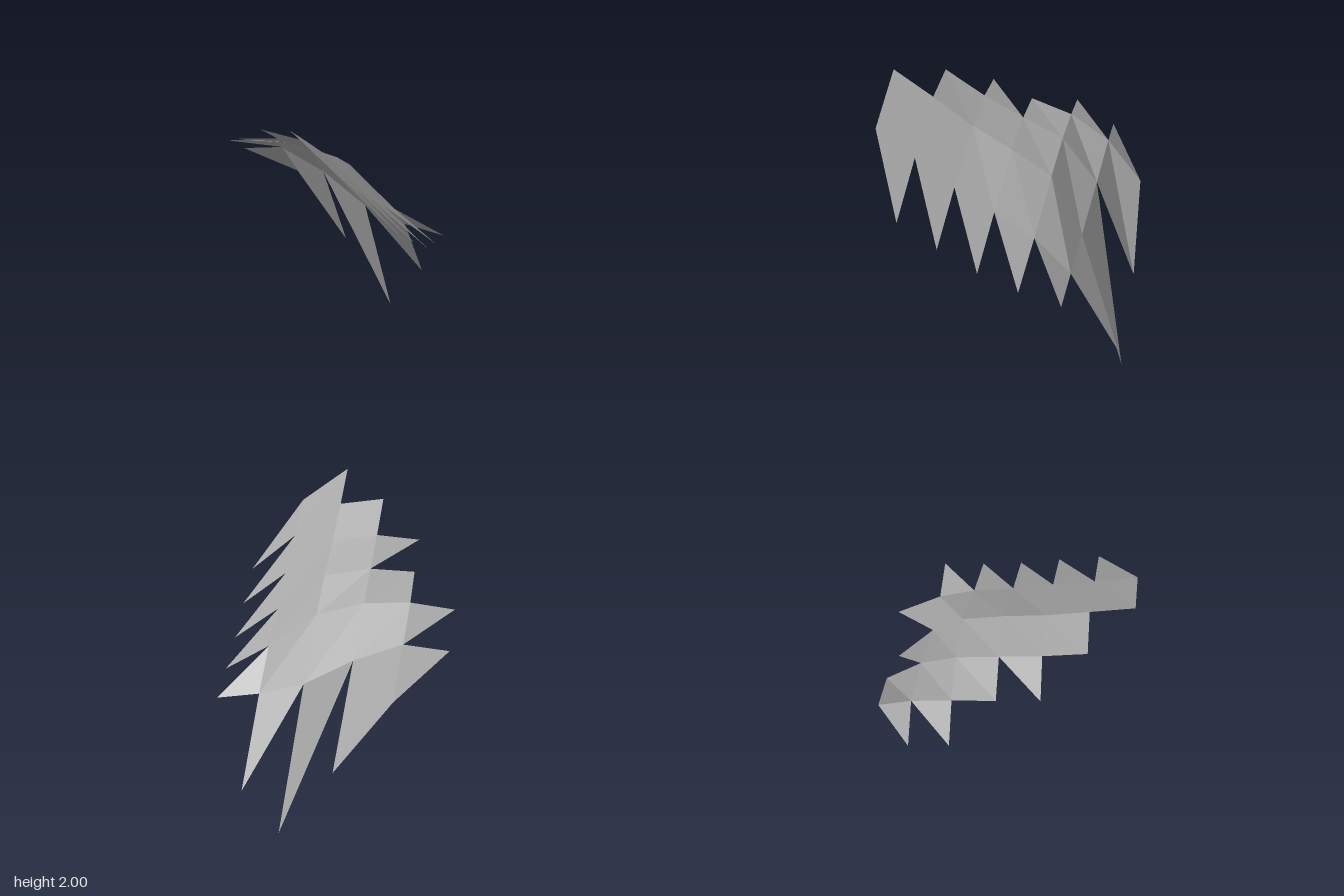
import * as THREE from 'three';

// Lengthwise ridge lines of the folded sheet, each listed from front to back
const rightEdge = [[0.36, 1.735, 0.845], [0.385, 1.565, 0.58], [0.415, 1.395, 0.31], [0.43, 1.25, 0.04], [0.455, 1.105, -0.235], [0.485, 0.88, -0.49]];
const ridge = [[0.03, 2, 0.815], [0.05, 1.84, 0.545], [0.075, 1.67, 0.27], [0.1, 1.54, 0], [0.12, 1.385, -0.275], [0.18, 0.985, -0.505]];
const crease = [[-0.25, 1.89, 0.545], [-0.23, 1.735, 0.27], [-0.21, 1.61, -0.005], [-0.195, 1.495, -0.285], [-0.15, 1.205, -0.54], [-0.05, 0.53, -0.85]];
const leftEdge = [[-0.505, 1.6, 0], [-0.495, 1.515, -0.285], [-0.47, 1.355, -0.56], [-0.43, 1.077, -0.81]];

// Spike tips
const rightTips = [[0.715, 1.265, 0.615], [0.74, 1.115, 0.345], [0.755, 0.98, 0.075], [0.77, 0.885, -0.2], [0.775, 0.825, -0.485]];

export function createModel() {
  const group = new THREE.Group();
  const grey = new THREE.MeshStandardMaterial({ color: 0xa6a6a6, side: THREE.DoubleSide, flatShading: true });
  grey.name = 'grey';

  // One flat-shaded mesh from a list of triangles
  const addPart = (name, triangles) => {
    const geometry = new THREE.BufferGeometry();
    geometry.setAttribute('position', new THREE.Float32BufferAttribute(triangles.flat(2), 3));
    geometry.computeVertexNormals();
    const mesh = new THREE.Mesh(geometry, grey);
    mesh.name = name;
    group.add(mesh);
  };

  // Panel strip between two neighbouring ridge lines
  const addStrip = (name, left, right) => {
    const triangles = [];
    for (let i = 0; i < left.length - 1; i++) {
      triangles.push([left[i], right[i], right[i + 1]], [left[i], right[i + 1], left[i + 1]]);
    }
    addPart(name, triangles);
  };

  addStrip('leftSidePanels', ridge, rightEdge);
  addStrip('crownPanels', crease.slice(0, 5), ridge.slice(1));
  addStrip('rightSidePanels', leftEdge, crease.slice(2));

  // Saw-tooth spikes along the model's left side
  addPart('leftSpikes', rightTips.map((tip, i) => [rightEdge[i], tip, rightEdge[i + 1]]));

  // Spikes along the model's right side
  addPart('rightSpikes', [
    [crease[2], [-0.52, 1.71, 0.28], crease[1]],
    [leftEdge[2], [-0.785, 1.475, -0.275], leftEdge[1]],
    [leftEdge[3], [-0.765, 1.32, -0.55], leftEdge[2]],
  ]);

  // Long spikes hanging at the back
  addPart('backSpikes', [
    [rightEdge[5], [0.56, 0.335, -0.85], ridge[5]],
    [ridge[5], [0.32, 0, -0.85], crease[4]],
  ]);

  return group;
}
